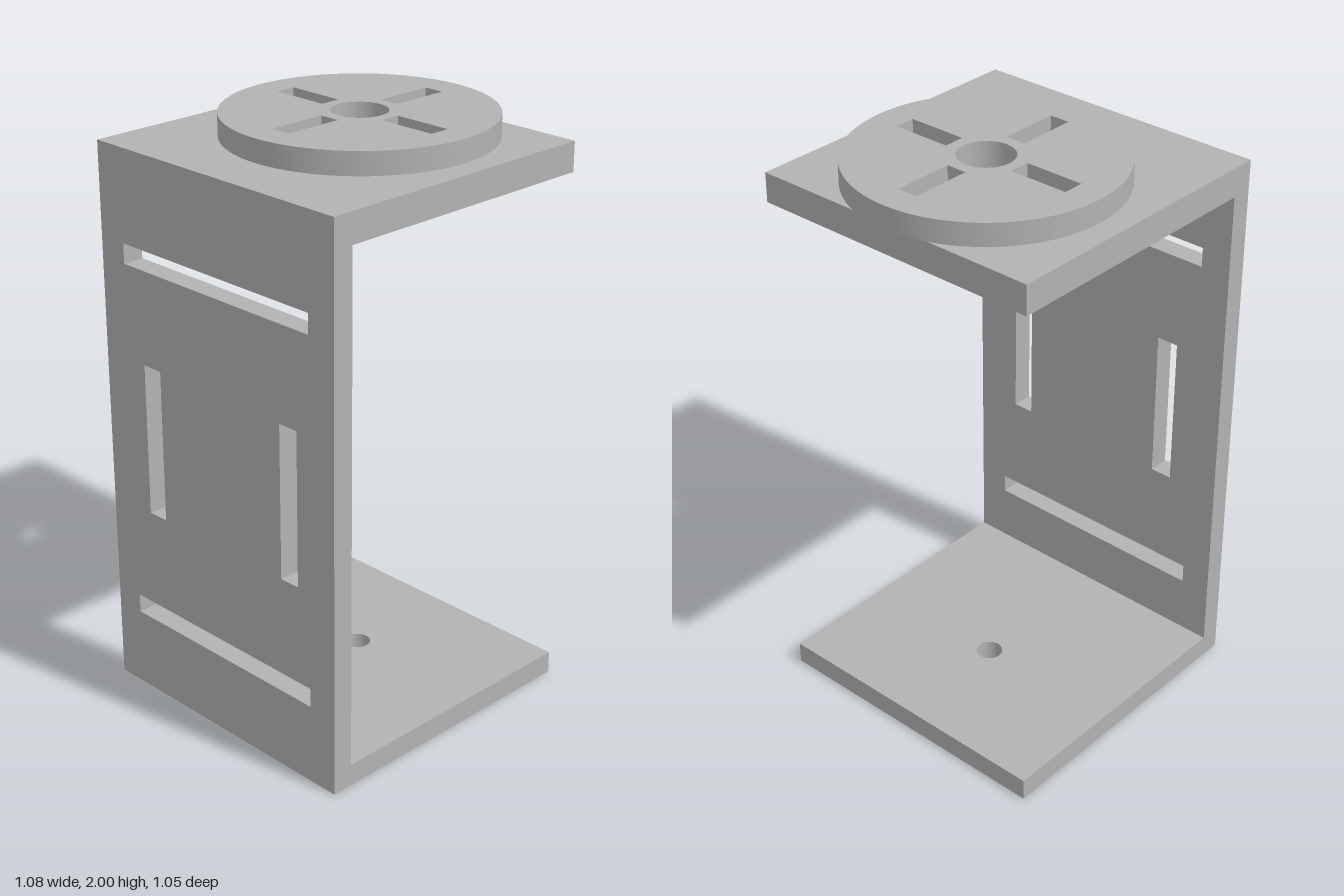
import * as THREE from 'three';
import { toCreasedNormals } from 'three/addons/utils/BufferGeometryUtils.js';

const LEFT = -0.54, INNER = -0.466, RIGHT = 0.51, HALF = 0.527; // bracket extents
const FLOOR = 0.077, CEILING = 1.822, ROOF = 1.923, TOP = 2;
const AXIS = 0.09; // x of the bore axis

function rect(PathType, x0, y0, x1, y1) {
  const p = new PathType();
  p.moveTo(x0, y0);
  p.lineTo(x1, y0);
  p.lineTo(x1, y1);
  p.lineTo(x0, y1);
  p.closePath();
  return p;
}

function circle(PathType, x, y, r) {
  const p = new PathType();
  p.absarc(x, y, r, 0, Math.PI * 2, false);
  return p;
}

function extrude(shape, depth) {
  return new THREE.ExtrudeGeometry(shape, { depth, bevelEnabled: false, curveSegments: 48 });
}

export function createModel() {
  const group = new THREE.Group();
  const grey = new THREE.MeshStandardMaterial({ color: 0xb2b2b2 });
  grey.name = 'grey';

  function add(name, geometry) {
    const mesh = new THREE.Mesh(toCreasedNormals(geometry, 0.5), grey);
    mesh.name = name;
    group.add(mesh);
  }

  // Lays an outline flat between two heights
  function addFlat(name, shape, y0, y1) {
    add(name, extrude(shape, y1 - y0).rotateX(-Math.PI / 2).translate(0, y0, 0));
  }

  // Upright wall with two long slots and two upright slots (outline in z, y)
  const wall = rect(THREE.Shape, -HALF, 0, HALF, ROOF);
  for (const [z0, y0, z1, y1] of [
    [-0.42, 0.278, 0.42, 0.344],
    [-0.42, 1.54, 0.42, 1.608],
    [0.292, 0.686, 0.367, 1.216],
    [-0.34, 0.686, -0.262, 1.216],
  ]) wall.holes.push(rect(THREE.Path, z0, y0, z1, y1));
  add('slottedWall', extrude(wall, INNER - LEFT).rotateY(-Math.PI / 2).translate(INNER, 0, 0));

  // Bottom and top plates, each with a round bore
  for (const [name, y0, y1, r] of [
    ['bottomPlate', 0, FLOOR, 0.045],
    ['topPlate', CEILING, ROOF, 0.093],
  ]) {
    const plate = rect(THREE.Shape, INNER, -HALF, RIGHT, HALF);
    plate.holes.push(circle(THREE.Path, AXIS, 0, r));
    addFlat(name, plate, y0, y1);
  }

  // Round disc with a bore and four radial slots
  const disc = circle(THREE.Shape, AXIS, 0, 0.446);
  disc.holes.push(circle(THREE.Path, AXIS, 0, 0.093));
  for (const s of [-1, 1]) {
    const near = Math.min(s * 0.132, s * 0.341), far = Math.max(s * 0.132, s * 0.341);
    disc.holes.push(rect(THREE.Path, AXIS + near, -0.036, AXIS + far, 0.036));
    disc.holes.push(rect(THREE.Path, AXIS - 0.036, near, AXIS + 0.036, far));
  }
  addFlat('slottedDisc', disc, ROOF, TOP);

  return group;
}
